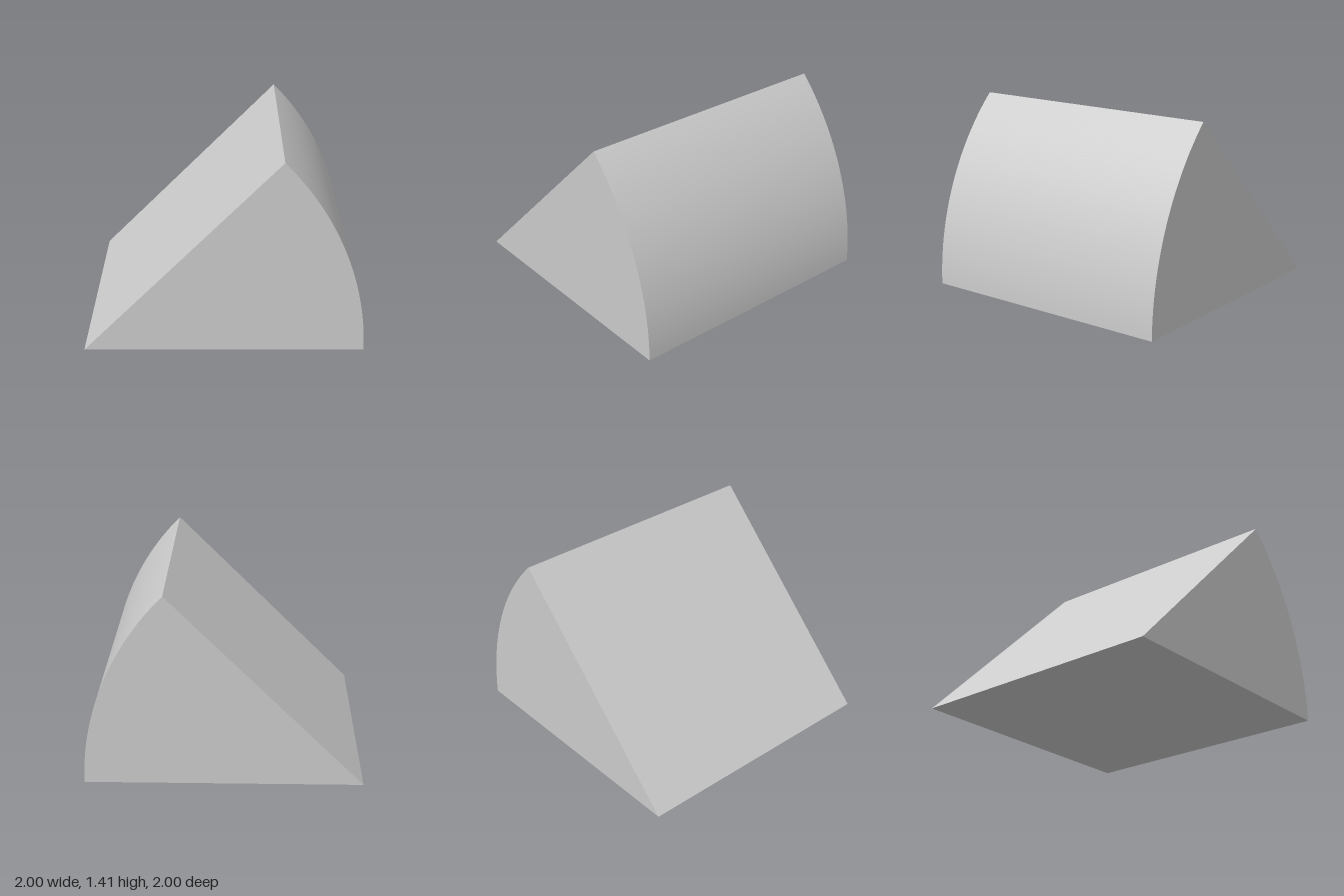
import * as THREE from 'three';
import { toCreasedNormals } from 'three/addons/utils/BufferGeometryUtils.js';

export function createModel() {
  const group = new THREE.Group();
  group.name = 'cylinderSector';

  const radius = 2, angle = Math.PI / 4, depth = 2;

  // Pie-slice outline: tip at the left, flat base, arc on the right
  const sector = new THREE.Shape();
  sector.moveTo(-1, 0);
  sector.lineTo(-1 + radius, 0);
  sector.absarc(-1, 0, radius, 0, angle, false);
  sector.lineTo(-1, 0);

  // Extrude along z and centre; smooth arc, sharp edges
  const extruded = new THREE.ExtrudeGeometry(sector, { depth, bevelEnabled: false, curveSegments: 32 });
  extruded.translate(0, 0, -depth / 2);
  const geometry = toCreasedNormals(extruded, Math.PI / 6);

  const wedge = new THREE.Mesh(geometry, new THREE.MeshStandardMaterial({ color: 0xcccccc }));
  wedge.name = 'wedge';
  group.add(wedge);
  return group;
}
